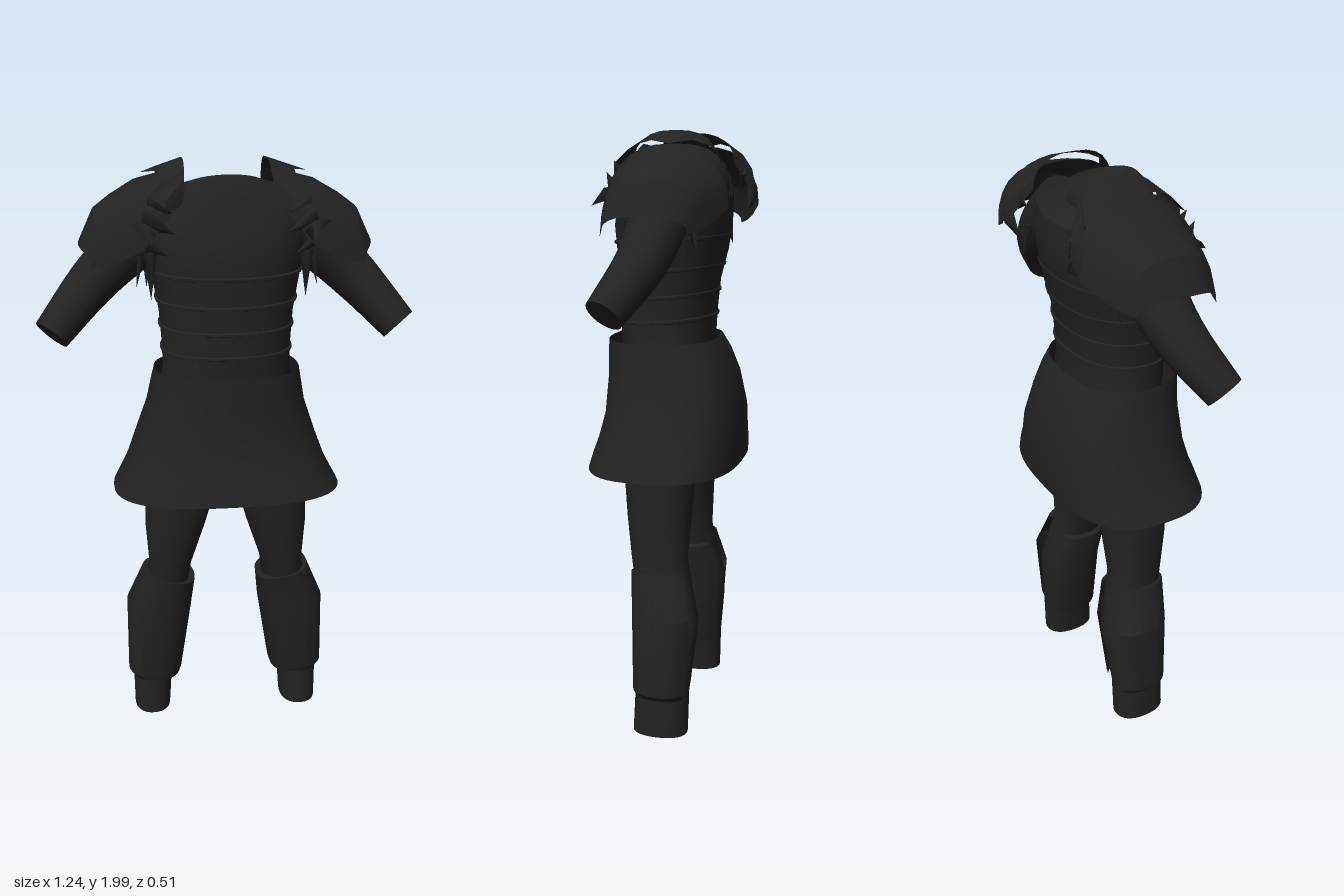
import * as THREE from 'three';
import { toCreasedNormals } from 'three/addons/utils/BufferGeometryUtils.js';

const V = (x, y, z) => new THREE.Vector3(x, y, z);
const cloth = new THREE.MeshStandardMaterial({ color: 0x222222, side: THREE.DoubleSide });
cloth.name = 'charcoal';

// Skin a list of rings; side = -1 mirrors the part to the other half
function loft(rings, { closed = true, capStart = null, capEnd = null, side = 1, crease = 0.7 } = {}) {
  const n = rings[0].length, pos = [], idx = [];
  const tri = (a, b, c) => (side > 0 ? idx.push(a, b, c) : idx.push(a, c, b));
  rings.flat().forEach((p) => pos.push(p.x * side, p.y, p.z));
  for (let i = 0; i < rings.length - 1; i++) {
    for (let j = 0; j < (closed ? n : n - 1); j++) {
      const k = (j + 1) % n, a = i * n + j, b = i * n + k;
      tri(a, a + n, b);
      tri(b, a + n, b + n);
    }
  }
  const cap = (p, first, flip) => {
    const c = pos.length / 3;
    pos.push(p.x * side, p.y, p.z);
    for (let j = 0; j < n; j++) {
      const a = first + j, b = first + ((j + 1) % n);
      flip ? tri(c, a, b) : tri(c, b, a);
    }
  };
  if (capStart) cap(capStart, 0, true);
  if (capEnd) cap(capEnd, (rings.length - 1) * n, false);
  const g = new THREE.BufferGeometry();
  g.setAttribute('position', new THREE.Float32BufferAttribute(pos, 3));
  g.setIndex(idx);
  return toCreasedNormals(g, crease);
}

const power = (v, n) => Math.sign(v) * Math.pow(Math.abs(v), 2 / n);

// Level cross-section: [y, xMin, xMax, zBack, zFront, squareness, tiltX, tiltZ]
function ring([y, x0, x1, zb, zf, n = 2.3, tx = 0, tz = 0], from = 0, to = 2 * Math.PI, count = 32) {
  const full = to - from > 6.28, pts = [];
  for (let i = 0; i < count; i++) {
    const t = from + ((to - from) * i) / (full ? count : count - 1);
    const x = (x0 + x1) / 2 + ((x1 - x0) / 2) * power(Math.cos(t), n);
    const z = (zb + zf) / 2 + ((zf - zb) / 2) * power(Math.sin(t), n);
    pts.push(V(x, y + tx * (x - (x0 + x1) / 2) + tz * z, z));
  }
  return pts;
}
const sym = (y, r, zb, zf, n, tz) => [y, -r, r, zb, zf, n, 0, tz];

const torso = [
  sym(0.94, 0.2, -0.11, 0.1), sym(1.05, 0.25, -0.17, 0.13), sym(1.2, 0.24, -0.165, 0.14),
  sym(1.33, 0.212, -0.145, 0.16), sym(1.42, 0.215, -0.15, 0.163), sym(1.52, 0.222, -0.16, 0.165),
  sym(1.62, 0.24, -0.185, 0.172), sym(1.7, 0.255, -0.197, 0.178), sym(1.79, 0.265, -0.2, 0.16, 2.3, 0.05),
  sym(1.87, 0.24, -0.19, 0.125, 2.2, 0.15), sym(1.915, 0.175, -0.155, 0.105, 2, 0.3),
  sym(1.925, 0.12, -0.125, 0.095, 2, 0.36),
];
// Torso section at any height, grown outward a little
function torsoAt(y, grow) {
  const i = torso.findIndex((s) => s[0] > y), a = torso[i - 1], b = torso[i];
  const f = (y - a[0]) / (b[0] - a[0]), m = (k) => a[k] + (b[k] - a[k]) * f;
  return [y, m(1) - grow, m(2) + grow, m(3) - grow, m(4) + grow, 2.3];
}

// Arc from front to back over the shoulder
function arch(x, xEnd, top, zf, yf, zb, yb, lift = 0) {
  const pts = [];
  for (let i = 0; i <= 12; i++) {
    const a = (Math.PI * i) / 12, f = i / 12, low = yf + (yb - yf) * f, s = power(Math.sin(a), 2.5);
    const c = power(Math.cos(a), 2.5);
    pts.push(V(x + (xEnd - x) * Math.abs(c) ** 3, low + (top - low) * s + lift * s,
      (zf + zb) / 2 + ((zf - zb) / 2 + lift) * c));
  }
  return pts;
}

// Tube with changing radius along a few points
function limb(points, radii, side) {
  const curve = new THREE.CatmullRomCurve3(points), rings = [], steps = 12;
  for (let i = 0; i <= steps; i++) {
    const t = i / steps, p = curve.getPoint(t), d = curve.getTangent(t);
    const u = V(0, 0, 1).cross(d).normalize(), v = u.clone().cross(d);
    const q = t * (radii.length - 1), k = Math.min(Math.floor(q), radii.length - 2);
    const r = radii[k] + (radii[k + 1] - radii[k]) * (q - k);
    rings.push(Array.from({ length: 20 }, (_, j) => {
      const a = (j / 20) * 2 * Math.PI;
      return p.clone().addScaledVector(u, r * Math.cos(a)).addScaledVector(v, r * Math.sin(a));
    }));
  }
  return loft(rings, { capStart: points[0], capEnd: points.at(-1), side });
}

// Slim pointed scale from base to tip
function spike(base, tip, width) {
  const d = tip.clone().sub(base), g = new THREE.ConeGeometry(width, d.length(), 4);
  g.scale(1, 1, 0.35);
  g.applyQuaternion(new THREE.Quaternion().setFromUnitVectors(V(0, 1, 0), d.clone().normalize()));
  const c = base.clone().add(tip).multiplyScalar(0.5);
  return g.translate(c.x, c.y, c.z);
}

export function createModel() {
  const model = new THREE.Group();
  model.name = 'armouredOutfit';
  const add = (name, geometry) => {
    const mesh = new THREE.Mesh(geometry, cloth);
    mesh.name = name;
    model.add(mesh);
  };

  // Body with a hollow neck
  add('torso', loft(torso.map((s) => ring(s)), { capStart: V(0, 0.93, 0), capEnd: V(0, 1.82, -0.02) }));

  // Thin ridges around the waist and ribs
  for (const y of [1.395, 1.475, 1.56, 1.655]) {
    const edge = (dy, grow) => ring(torsoAt(y + dy, grow)).map((p) => p.setY(p.y - p.z * 0.06));
    add('ribBand', loft([edge(-0.008, -0.003), edge(-0.004, 0.006), edge(0.004, 0.006), edge(0.008, -0.003)]));
  }

  // Flared open skirt
  const skirt = [
    sym(0.905, 0.39, -0.25, 0.255, 2.7), sym(0.95, 0.365, -0.252, 0.243, 2.7), sym(1.0, 0.34, -0.252, 0.228, 2.6),
    sym(1.08, 0.31, -0.25, 0.208, 2.6), sym(1.2, 0.268, -0.228, 0.202, 2.5), sym(1.28, 0.252, -0.195, 0.202, 2.5),
    sym(1.328, 0.242, -0.165, 0.2, 2.5),
  ];
  add('skirt', loft(skirt.map((s) => ring(s, 0, 2 * Math.PI, 48))));

  const legSections = [
    [0.005, 0.21, 0.34, -0.122, 0.065], [0.15, 0.2, 0.342, -0.125, 0.058], [0.3, 0.17, 0.328, -0.14, 0.052],
    [0.4, 0.15, 0.312, -0.147, 0.056], [0.5, 0.138, 0.29, -0.122, 0.07], [0.6, 0.125, 0.275, -0.102, 0.088],
    [0.75, 0.075, 0.285, -0.11, 0.105], [0.905, 0.03, 0.282, -0.12, 0.12], [1.12, 0.0, 0.25, -0.15, 0.12],
  ];
  const greaveSections = [
    [0.14, 0.172, 0.345, -0.128, 0.06, 2.5], [0.16, 0.165, 0.36, -0.132, 0.066, 2.5],
    [0.42, 0.125, 0.358, -0.155, 0.072, 2.5, 0.05], [0.55, 0.112, 0.298, -0.122, 0.086, 2.5, 0.2],
  ];
  for (const side of [1, -1]) {
    const s = side > 0 ? 'left' : 'right';
    add(s + 'Leg', loft(legSections.map((r) => ring(r)), { capStart: V(0.275, 0.005, -0.03), side }));

    // Shin guard, open behind the calf, with rolled-in rims
    const cut = (r) => ring(r, -0.3 * Math.PI, 1.3 * Math.PI, 26);
    const inset = ([y, a, b, c, d, ...rest]) => [y, a + 0.02, b - 0.02, c + 0.02, d - 0.02, ...rest];
    add(s + 'Greave', loft([...greaveSections, inset(greaveSections[3])].map(cut), { closed: false, side, crease: 0.4 }));

    // Bent sleeve
    add(s + 'Arm', limb([V(0.22, 1.8, -0.03), V(0.33, 1.71, -0.035), V(0.44, 1.605, -0.015), V(0.572, 1.46, 0.063)],
      [0.1, 0.092, 0.08, 0.062], side));

    // Broad outer shoulder plate
    add(s + 'ShoulderPlate', loft([
      arch(0.19, 0.19, 1.955, 0.13, 1.83, -0.235, 1.8),
      arch(0.29, 0.27, 1.93, 0.145, 1.74, -0.245, 1.76),
      arch(0.37, 0.35, 1.885, 0.135, 1.7, -0.21, 1.72),
      arch(0.425, 0.405, 1.845, 0.122, 1.685, -0.18, 1.7),
      arch(0.475, 0.435, 1.74, 0.115, 1.68, -0.155, 1.69),
    ], { closed: false, side, crease: 0.35 }));

    // Raised collar plate with a jagged outer edge
    const rim = arch(0.22, 0.2, 1.96, 0.13, 1.85, -0.235, 1.79, 0.008);
    rim.forEach((p, i) => { p.x += i % 4 === 2 ? 0.05 : 0; p.y -= i % 4 === 2 ? 0.015 : 0; });
    add(s + 'CollarPlate', loft([arch(0.135, 0.14, 1.998, 0.095, 1.87, -0.18, 1.9), rim],
      { closed: false, side, crease: 0.35 }));

    // Pointed scales at the chest, the back and under the arm
    const spikes = [
      [V(0.27, 1.83, 0.12), V(0.175, 1.79, 0.165), 0.045], [V(0.27, 1.81, 0.12), V(0.25, 1.765, 0.2), 0.05],
      [V(0.25, 1.87, 0.1), V(0.18, 1.85, 0.145), 0.04], [V(0.27, 1.76, 0.12), V(0.2, 1.72, 0.16), 0.035],
      [V(0.23, 1.86, -0.2), V(0.12, 1.86, -0.215), 0.05], [V(0.24, 1.8, -0.225), V(0.15, 1.74, -0.225), 0.05],
      [V(0.25, 1.72, 0.09), V(0.25, 1.57, 0.09), 0.022], [V(0.27, 1.74, 0.04), V(0.295, 1.6, 0.05), 0.022],
      [V(0.25, 1.72, -0.1), V(0.255, 1.57, -0.1), 0.022], [V(0.28, 1.73, -0.13), V(0.3, 1.62, -0.15), 0.022],
    ];
    for (const [base, tip, w] of spikes) {
      base.x *= side;
      tip.x *= side;
      add(s + 'Scale', spike(base, tip, w));
    }
  }
  return model;
}
